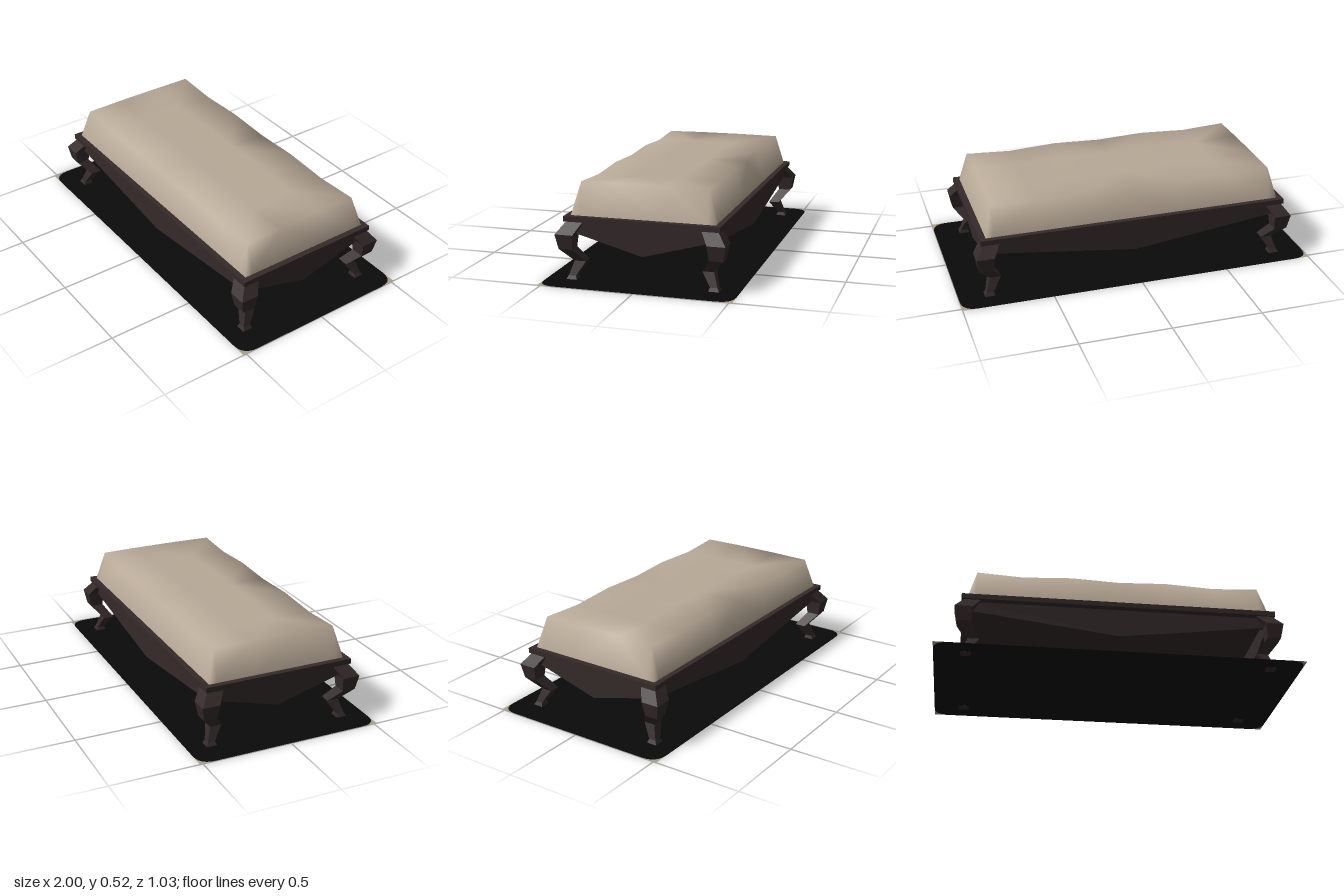
import * as THREE from 'three';

const paint = (name, color, side = THREE.FrontSide) => {
  const m = new THREE.MeshStandardMaterial({ color, side });
  m.name = name;
  return m;
};

function indexed(points, index) {
  const g = new THREE.BufferGeometry();
  g.setAttribute('position', new THREE.Float32BufferAttribute(points, 3));
  g.setIndex(index);
  return g;
}

// Softly shaded padded top: a grid whose outer ring is the foot of the sloping sides
function cushionGeometry() {
  const xs = [-0.835, -0.79, -0.54, -0.265, 0, 0.265, 0.54, 0.79, 0.835];
  const ys = [0.34, 0.515, 0.501, 0.515, 0.504, 0.515, 0.501, 0.515, 0.34];
  const zs = [-0.39, -0.345, -0.13, 0.13, 0.345, 0.39];
  const nx = xs.length, nz = zs.length, points = [], index = [];
  for (let j = 0; j < nz; j++) {
    for (let i = 0; i < nx; i++) {
      const foot = j === 0 || j === nz - 1;
      const middle = j === 2 || j === 3;
      const y = foot ? 0.34 : ys[i] + (middle && ys[i] > 0.4 ? 0.003 : 0);
      points.push(xs[i], y, zs[j]);
    }
  }
  for (let j = 0; j < nz - 1; j++) {
    for (let i = 0; i < nx - 1; i++) {
      const a = j * nx + i, b = a + 1, c = a + nx, d = c + 1;
      // Diagonals run outward so that each corner folds along its ridge
      if ((i < (nx - 1) / 2) === (j < (nz - 1) / 2)) index.push(a, c, d, a, d, b);
      else index.push(a, c, b, b, c, d);
    }
  }
  const g = indexed(points, index);
  g.computeVertexNormals();
  return g;
}

// Curved leg: square sections [height, diagonal centre, half width], from foot to top
function legGeometry() {
  const sections = [
    [0, 0.385, 0.029], [0.02, 0.383, 0.02], [0.095, 0.347, 0.031],
    [0.17, 0.404, 0.037], [0.25, 0.407, 0.049], [0.315, 0.362, 0.045],
  ];
  const points = [], index = [];
  for (const [y, c, h] of sections) {
    for (const [sx, sz] of [[-1, -1], [-1, 1], [1, 1], [1, -1]]) {
      points.push(c + 0.445 + sx * h, y, c + sz * h);
    }
  }
  for (let s = 0; s < sections.length - 1; s++) {
    for (let k = 0; k < 4; k++) {
      const a = s * 4 + k, b = s * 4 + (k + 1) % 4;
      index.push(a, b, b + 4, a, b + 4, a + 4);
    }
  }
  const t = (sections.length - 1) * 4;
  index.push(0, 2, 1, 0, 3, 2, t, t + 1, t + 2, t, t + 2, t + 3);
  const g = indexed(points, index).toNonIndexed();
  g.computeVertexNormals();
  return g;
}

// Pointed apron board, centred on its own thickness
function apronGeometry(half) {
  const s = new THREE.Shape();
  s.moveTo(-half, 0.306);
  s.lineTo(-half, 0.25);
  s.lineTo(0, 0.148);
  s.lineTo(half, 0.25);
  s.lineTo(half, 0.306);
  const g = new THREE.ExtrudeGeometry(s, { depth: 0.02, bevelEnabled: false });
  return g.translate(0, 0, -0.01);
}

export function createModel() {
  const group = new THREE.Group();
  const wood = paint('dark wood', 0x352a2a);
  const fabric = paint('beige fabric', 0xb8a997);
  const black = paint('black mat', 0x0a0a0a, THREE.DoubleSide);
  const corner = paint('beige corner', 0xaa9f8c, THREE.DoubleSide);

  const add = (name, geometry, material) => {
    const mesh = new THREE.Mesh(geometry, material);
    mesh.name = name;
    group.add(mesh);
    return mesh;
  };

  add('cushion', cushionGeometry(), fabric);

  // Rail under the cushion
  add('frame', new THREE.BoxGeometry(1.735, 0.028, 0.84), wood).position.y = 0.328;

  // Four legs, turned or mirrored into the corners
  const leg = legGeometry();
  const mirrored = leg.clone().scale(-1, 1, 1);
  const p = mirrored.attributes.position.array;
  for (let i = 0; i < p.length; i += 9) {
    for (let k = 0; k < 3; k++) [p[i + 3 + k], p[i + 6 + k]] = [p[i + 6 + k], p[i + 3 + k]];
  }
  mirrored.computeVertexNormals();
  add('frontLeftLeg', leg, wood);
  add('frontRightLeg', mirrored, wood);
  add('backRightLeg', leg, wood).rotation.y = Math.PI;
  add('backLeftLeg', mirrored, wood).rotation.y = Math.PI;

  // Aprons on the long and short sides
  const longApron = apronGeometry(0.82), shortApron = apronGeometry(0.37);
  for (const s of [1, -1]) {
    add(s > 0 ? 'frontApron' : 'backApron', longApron, wood).position.z = s * 0.385;
    const side = add(s > 0 ? 'leftApron' : 'rightApron', shortApron, wood);
    side.rotation.y = Math.PI / 2;
    side.position.x = s * 0.83;
  }

  // Flat mat with rounded corners, filled out to a rectangle by four corner pieces
  const W = 1, D = 0.517, R = 0.09;
  const mat = new THREE.Shape();
  mat.moveTo(W, D - R);
  mat.quadraticCurveTo(W, D, W - R, D);
  mat.lineTo(R - W, D);
  mat.quadraticCurveTo(-W, D, -W, D - R);
  mat.lineTo(-W, R - D);
  mat.quadraticCurveTo(-W, -D, R - W, -D);
  mat.lineTo(W - R, -D);
  mat.quadraticCurveTo(W, -D, W, R - D);
  const flat = (shape) => new THREE.ShapeGeometry(shape, 6).rotateX(-Math.PI / 2).translate(0, 0.001, 0);
  add('mat', flat(mat), black);
  for (const sx of [1, -1]) {
    for (const sz of [1, -1]) {
      const c = new THREE.Shape();
      c.moveTo(sx * W, sz * D);
      c.lineTo(sx * W, sz * (D - R));
      c.quadraticCurveTo(sx * W, sz * D, sx * (W - R), sz * D);
      add('matCorner', flat(c), corner);
    }
  }
  return group;
}
